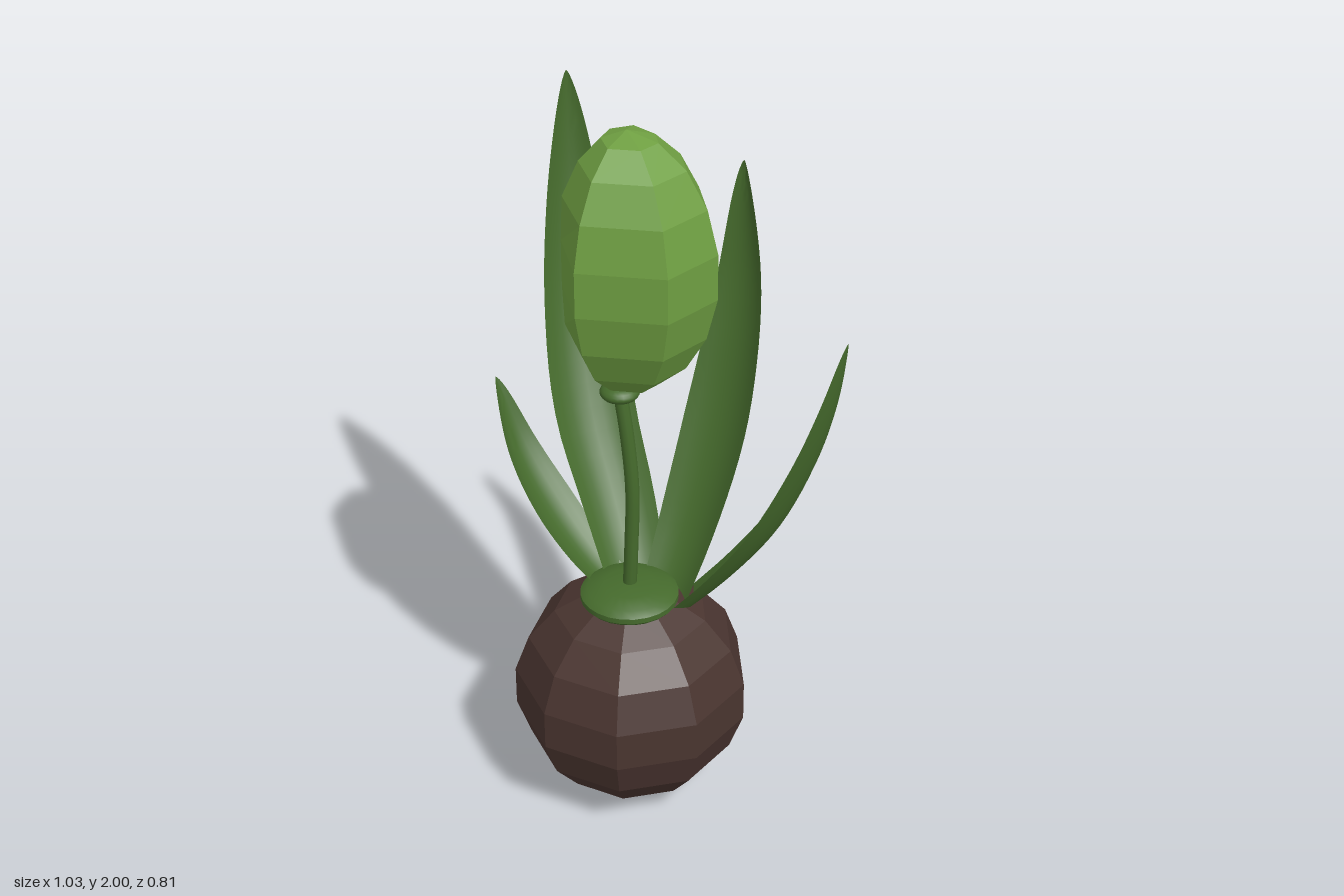
import * as THREE from 'three';
import { toCreasedNormals } from 'three/addons/utils/BufferGeometryUtils.js';

const V = (x, y, z) => new THREE.Vector3(x, y, z);
const leafMat = new THREE.MeshStandardMaterial({ color: 0x456a2c, side: THREE.DoubleSide });
const budMat = new THREE.MeshStandardMaterial({ color: 0x6f9f42, flatShading: true });
const bulbMat = new THREE.MeshStandardMaterial({ color: 0x4a3530, flatShading: true });

// Skin closed rings of points, each counter-clockwise about the path direction
function loft(rings) {
  const n = rings[0].length, index = [];
  for (let i = 0; i < rings.length - 1; i++) {
    for (let j = 0; j < n; j++) {
      const a = i * n + j, b = i * n + (j + 1) % n;
      index.push(a, b, b + n, a, b + n, a + n);
    }
  }
  const geo = new THREE.BufferGeometry().setFromPoints(rings.flat());
  geo.setIndex(index);
  geo.computeVertexNormals();
  return geo;
}

// Channelled blade along a curve, widest below the middle, with a rounded tip
function leafGeometry(points, halfWidth) {
  const curve = new THREE.CatmullRomCurve3(points.map((p) => V(...p)));
  const d = points[points.length - 1].map((v, i) => v - points[0][i]);
  const W = V(d[2], 0, -d[0]).normalize();
  const rings = [], steps = 28, across = 8;
  for (let i = 0; i <= steps; i++) {
    const t = 1 - (1 - i / steps) ** 1.5;
    const c = curve.getPointAt(t);
    const N = curve.getTangentAt(t).cross(W).normalize();
    const shape = t < 0.4
      ? 0.74 + 0.26 * Math.sin((t / 0.4) * Math.PI / 2)
      : Math.pow(Math.max(0, 1 - ((t - 0.4) / 0.6) ** 1.6), 0.72);
    const w = halfWidth * shape;
    const point = (u, thick) => c.clone()
      .addScaledVector(W, u * w)
      .addScaledVector(N, w * (0.55 * u * u - 0.27 + thick * (1 - u * u)));
    const ring = [];
    for (let k = 0; k < across; k++) ring.push(point(-1 + 2 * k / across, 0));
    for (let k = 0; k < across; k++) ring.push(point(1 - 2 * k / across, 0.18));
    rings.push(ring);
  }
  return toCreasedNormals(loft(rings), 0.9);
}

// Seven-sided bud, nine bands high, with a flattened side
function budGeometry() {
  const outline = [[0.167, 0.065], [0.085, -0.065], [-0.115, -0.135], [-0.245, -0.015],
    [-0.245, 0.145], [-0.12, 0.293], [0.104, 0.232]];
  const ax = -0.075, az = 0.075, rings = [];
  for (let i = 0; i <= 9; i++) {
    const a = -Math.PI / 2 + i * Math.PI / 9;
    const s = Math.cos(a) / Math.cos(Math.PI / 18);
    rings.push(outline.map(([x, z]) =>
      V(Math.max(-0.226, ax + (x - ax) * s), 1.638 + 0.362 * Math.sin(a), az + (z - az) * s)));
  }
  return loft(rings);
}

export function createModel() {
  const model = new THREE.Group();
  const add = (name, geo, mat, x = 0, y = 0, z = 0) => {
    const mesh = new THREE.Mesh(geo, mat);
    mesh.name = name;
    mesh.position.set(x, y, z);
    model.add(mesh);
    return mesh;
  };

  // Bulb
  const bulb = add('bulb', new THREE.SphereGeometry(0.327, 9, 9), bulbMat, -0.065, 0.33, 0.094);
  bulb.rotation.y = THREE.MathUtils.degToRad(-13);

  // Low domed collar on top of the bulb
  const collar = [[0, 0.6], [0.12, 0.615], [0.134, 0.63], [0.134, 0.645], [0.115, 0.659],
    [0.07, 0.67], [0, 0.675]].map(([r, y]) => new THREE.Vector2(r, y));
  add('collar', toCreasedNormals(new THREE.LatheGeometry(collar, 24), 0.6), leafMat, -0.065, 0, 0.105);

  // Stem and the knob under the bud
  const stem = new THREE.CatmullRomCurve3([V(-0.068, 0.62, 0.1), V(-0.06, 0.8, 0.1),
    V(-0.056, 0.97, 0.1), V(-0.07, 1.13, 0.098), V(-0.095, 1.29, 0.095)]);
  add('stem', new THREE.TubeGeometry(stem, 20, 0.019, 10), leafMat);
  const knob = add('budBase', new THREE.SphereGeometry(0.053, 20, 12), leafMat, -0.093, 1.263, 0.092);
  knob.scale.y = 0.48;

  add('bud', budGeometry(), budMat);

  // Leaves: centre line and half width
  const leaves = {
    tallLeaf: [[[-0.085, 0.6, 0.01], [-0.195, 0.8, -0.09], [-0.295, 1.0, -0.17], [-0.39, 1.3, -0.285],
      [-0.435, 1.55, -0.35], [-0.455, 1.75, -0.383], [-0.465, 1.9, -0.397]], 0.115],
    backLeaf: [[[0.01, 0.6, 0.02], [0.035, 0.75, -0.06], [0.07, 1.0, -0.165], [0.085, 1.2, -0.235],
      [0.09, 1.45, -0.3], [0.075, 1.77, -0.33]], 0.098],
    shortLeaf: [[[-0.12, 0.61, 0.06], [-0.2, 0.67, 0.055], [-0.33, 0.8, 0.03], [-0.44, 0.95, 0],
      [-0.52, 1.14, -0.03]], 0.075],
    sideLeaf: [[[0.08, 0.61, 0.038], [0.18, 0.73, 0.038], [0.31, 0.92, 0.036], [0.41, 1.14, 0.038],
      [0.47, 1.33, 0.045], [0.512, 1.525, 0.055]], 0.086],
  };
  for (const [name, [points, halfWidth]] of Object.entries(leaves)) {
    add(name, leafGeometry(points, halfWidth), leafMat);
  }
  return model;
}
